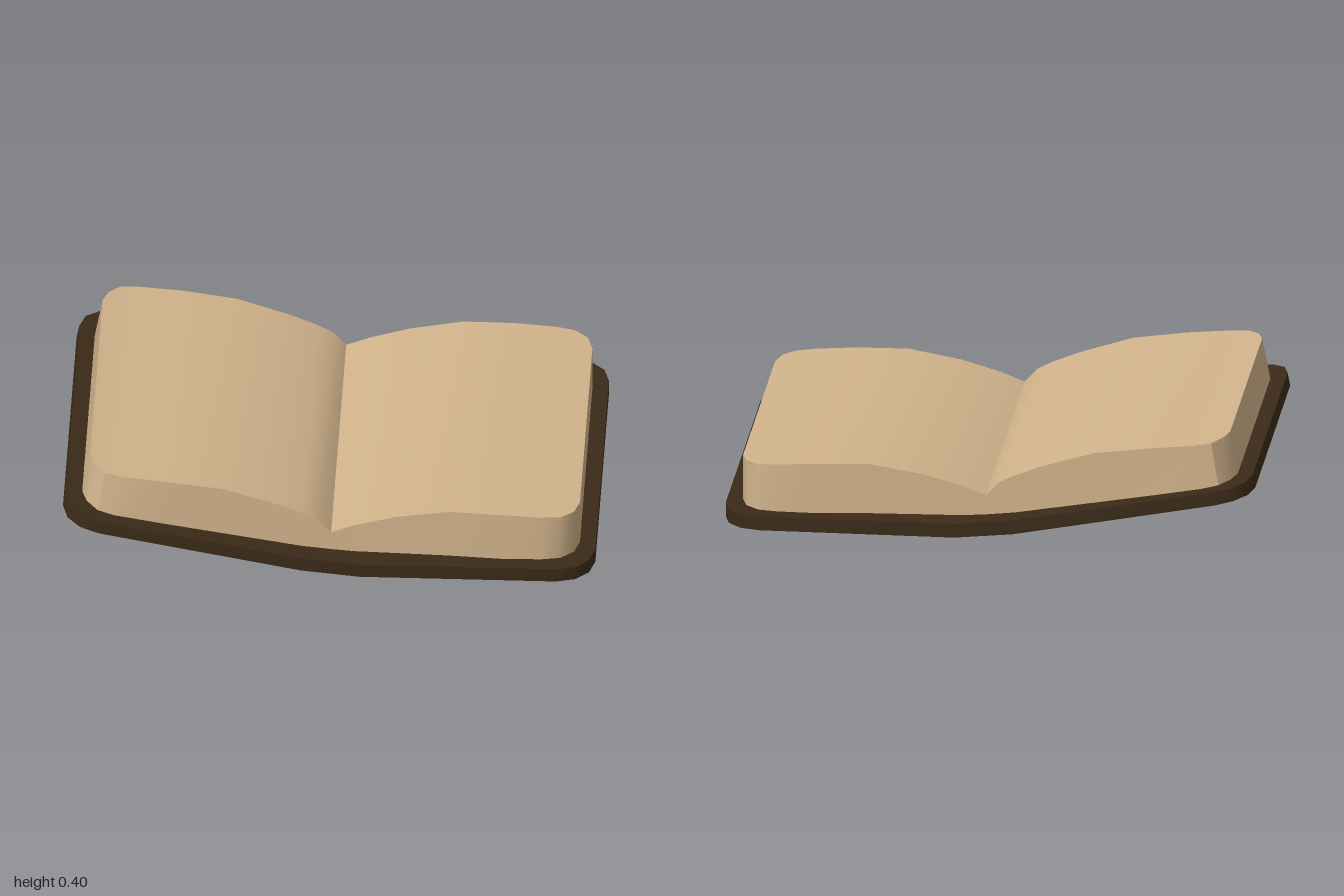
import * as THREE from 'three';
import { toCreasedNormals } from 'three/addons/utils/BufferGeometryUtils.js';

// Lofts four-cornered sections along x: [xBottom, yBottom, xTop, yTop, halfDepthBottom, halfDepthTop]
function loft(sections) {
  const pos = [];
  const quad = (a, b, c, d) => pos.push(...a, ...b, ...c, ...a, ...c, ...d);
  const rings = sections.map(([xb, yb, xt, yt, hb, ht = hb]) => [
    [xb, yb, hb], [xt, yt, ht], [xt, yt, -ht], [xb, yb, -hb],
  ]);
  for (let i = 0; i < rings.length - 1; i++) {
    const a = rings[i], b = rings[i + 1];
    for (let k = 0; k < 4; k++) {
      const n = (k + 1) % 4;
      quad(a[k], b[k], b[n], a[n]);
    }
  }
  const s = rings[0], e = rings[rings.length - 1];
  quad(s[0], s[1], s[2], s[3]);
  quad(e[3], e[2], e[1], e[0]);
  const geo = new THREE.BufferGeometry();
  geo.setAttribute('position', new THREE.Float32BufferAttribute(pos, 3));
  return toCreasedNormals(geo, 0.6);
}

function part(name, sections, color) {
  const mesh = new THREE.Mesh(loft(sections), new THREE.MeshStandardMaterial({ color }));
  mesh.name = name;
  return mesh;
}

// Piecewise linear height along a list of [x, y] points
function heightAt(points, x) {
  let i = 1;
  while (i < points.length - 1 && x > points[i][0]) i++;
  const [x0, y0] = points[i - 1], [x1, y1] = points[i];
  return y0 + (y1 - y0) * (x - x0) / (x1 - x0);
}

export function createModel() {
  const book = new THREE.Group();
  book.name = 'openBook';

  // Bent cover board with rounded corners
  const under = [[-1, 0.193], [-0.1, 0.022], [0.12, 0], [1, 0]];
  const upper = [[-0.99, 0.243], [-0.09, 0.075], [0.12, 0.054], [1, 0.054]];
  const corner = [[1, 0.58], [0.98, 0.655], [0.93, 0.705], [0.86, 0.725]];
  const outline = [
    ...corner.map(([x, h]) => [-x, h]),
    [-0.1, 0.725], [0.12, 0.725],
    ...corner.slice().reverse(),
  ];
  book.add(part('cover', outline.map(([x, h]) => {
    const xt = x < 0 ? x + 0.01 : x;
    return [x, heightAt(under, x), xt, heightAt(upper, xt), h];
  }), 0x3b2a18));

  // Page block: curved leaves on both sides of the gutter, [x, y, half depth] along the top
  const leaves = [
    [-0.9, 0.395, 0.53], [-0.88, 0.391, 0.59], [-0.84, 0.384, 0.64], [-0.78, 0.377, 0.655],
    [-0.6, 0.36, 0.66], [-0.4, 0.333, 0.655], [-0.2, 0.27, 0.65], [-0.1, 0.23, 0.648],
    [-0.04, 0.2, 0.646], [0.01, 0.145, 0.645], [0.1, 0.18, 0.646], [0.25, 0.222, 0.65],
    [0.45, 0.255, 0.656], [0.65, 0.25, 0.661], [0.8, 0.24, 0.658], [0.87, 0.235, 0.645],
    [0.92, 0.232, 0.6], [0.94, 0.23, 0.53],
  ];
  const base = [[-0.93, 0.232], [-0.6, 0.171], [-0.1, 0.082], [0.06, 0.063], [0.45, 0.06], [0.65, 0.054], [1, 0.054]];
  book.add(part('pages', leaves.map(([x, y, h]) => {
    const xb = x < 0 ? x * 1.033 : x;
    return [xb, heightAt(base, xb), x, y, x < -0.7 ? h + 0.008 : h, h];
  }), 0xd2b48c));

  return book;
}
